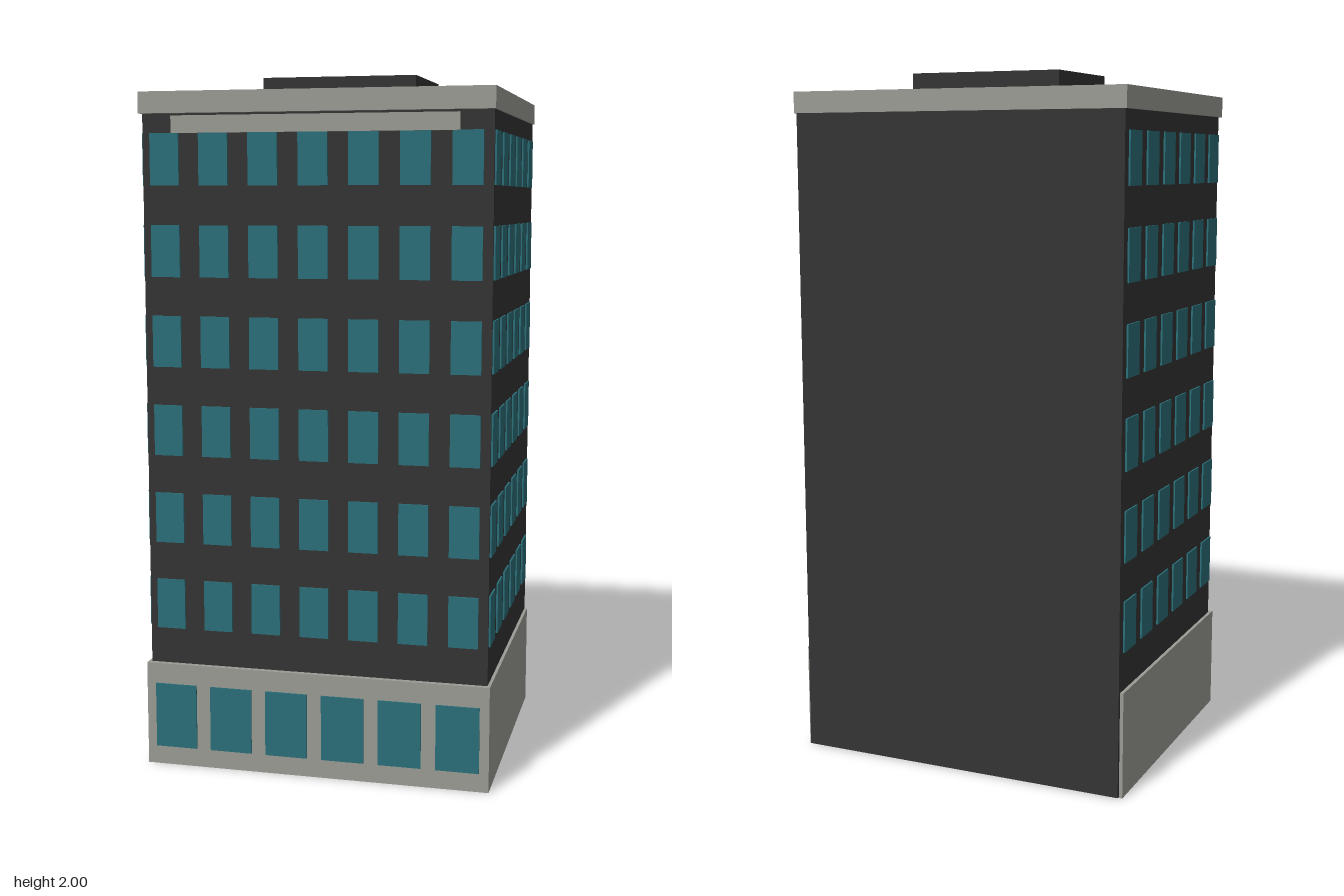
import * as THREE from 'three';

export function createModel() {
  const group = new THREE.Group();
  const mat = (name, color) => {
    const m = new THREE.MeshStandardMaterial({ color });
    m.name = name;
    return m;
  };
  const wall = mat('charcoal wall', 0x343434);
  const stone = mat('grey stone', 0x9a9b94);
  const glass = mat('teal glass', 0x2b6f79);

  // Box given by its min and max corners
  const box = (name, material, [x0, y0, z0], [x1, y1, z1], parent = group) => {
    const mesh = new THREE.Mesh(new THREE.BoxGeometry(x1 - x0, y1 - y0, z1 - z0), material);
    mesh.position.set((x0 + x1) / 2, (y0 + y1) / 2, (z0 + z1) / 2);
    mesh.name = name;
    parent.add(mesh);
  };

  // Main masses
  box('tower', wall, [-0.497, 0.003, -0.43], [0.495, 1.94, 0.41]);
  box('plinth', stone, [-0.507, 0, -0.42], [0.504, 0.305, 0.426]);
  box('roofSlab', stone, [-0.503, 1.885, -0.435], [0.5, 1.945, 0.428]);
  box('roofHousing', wall, [-0.227, 1.945, -0.227], [0.227, 2, 0.13]);
  box('fasciaBoard', stone, [-0.405, 1.83, 0.418], [0.405, 1.878, 0.434]);

  // Upper windows: seven bays in front, six on each side
  const windows = new THREE.Group();
  windows.name = 'upperWindows';
  group.add(windows);
  const h = 0.0725;
  for (let row = 0; row < 6; row++) {
    const y = 0.487 + row * 0.2543;
    for (let i = 0; i < 7; i++) {
      const x = (i - 3) * 0.1425;
      box('frontWindow', glass, [x - 0.042, y - h, 0.424], [x + 0.042, y + h, 0.43], windows);
    }
    for (let i = 0; i < 6; i++) {
      const z = 0.355 - i * 0.142;
      box('leftWindow', glass, [0.494, y - h, z - 0.046], [0.5, y + h, z + 0.046], windows);
      box('rightWindow', glass, [-0.502, y - h, z - 0.046], [-0.496, y + h, z + 0.046], windows);
    }
  }

  // Shop windows along the plinth
  for (let i = 0; i < 6; i++) {
    const x = -0.417 + i * 0.1663;
    box('shopWindow', glass, [x - 0.062, 0.055, 0.424], [x + 0.062, 0.245, 0.431]);
  }
  return group;
}
